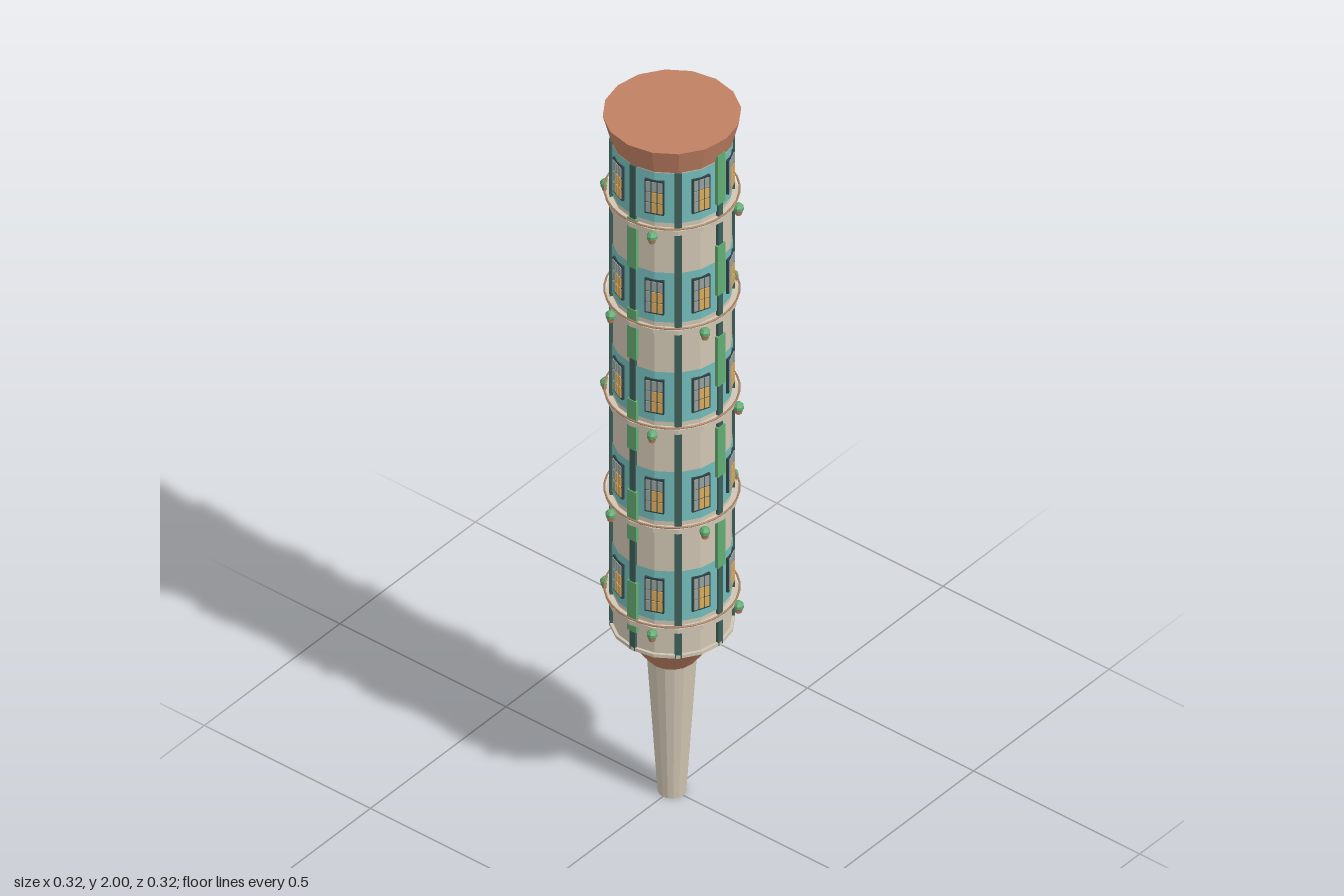
import * as THREE from 'three';

const mat = (name, color) => {
  const m = new THREE.MeshStandardMaterial({ color });
  m.name = name;
  return m;
};

export function createModel() {
  const stone = mat('pale stone', 0xd0c5b2);
  const clay = mat('terracotta', 0xc08063);
  const teal = mat('teal plaster', 0x72bcba);
  const metal = mat('dark green metal', 0x3e605a);
  const leaf = mat('leaf green', 0x62ac72);
  const frameColor = mat('window frame', 0x2e4246);
  const amber = mat('lit glass', 0xdcab5c);
  const grey = mat('grey glass', 0x98a29e);
  const copper = mat('copper rail', 0xa98060);

  const tower = new THREE.Group();
  tower.name = 'tower';

  // Faceted geometry gets one normal per face
  const facet = (g) => {
    const f = g.toNonIndexed();
    f.computeVertexNormals();
    return f;
  };
  const add = (parent, name, geo, material, x = 0, y = 0, z = 0) => {
    const mesh = new THREE.Mesh(geo, material);
    mesh.name = name;
    mesh.position.set(x, y, z);
    parent.add(mesh);
  };
  // Sixteen-sided drum from y0 to y1
  const drum = (name, rBottom, rTop, y0, y1, material, open = false) =>
    add(tower, name, facet(new THREE.CylinderGeometry(rTop, rBottom, y1 - y0, 16, 1, open)),
      material, 0, (y0 + y1) / 2, 0);
  // Group turned so that its +z points out of the tower at an angle
  const spoke = (name, angle) => {
    const g = new THREE.Group();
    g.name = name;
    g.rotation.y = angle;
    tower.add(g);
    return g;
  };

  // Main stack
  drum('stem', 0.034, 0.059, 0, 0.4, stone);
  drum('lowerCone', 0.06, 0.132, 0.4, 0.5, clay);
  drum('shaft', 0.141, 0.141, 0.5, 1.93, stone);
  drum('roof', 0.144, 0.1625, 1.93, 2, clay);
  drum('baseRing', 0.148, 0.148, 0.5, 0.509, stone);

  // Window: dark frame with three by three panes, the lower corner lit
  const frameGeo = new THREE.BoxGeometry(0.047, 0.1, 0.008);
  const paneGeo = new THREE.BoxGeometry(0.0115, 0.028, 0.003);
  const addWindow = (angle, y) => {
    const g = spoke('window', angle);
    add(g, 'windowFrame', frameGeo, frameColor, 0, y, 0.141);
    for (let c = -1; c <= 1; c++) {
      for (let r = -1; r <= 1; r++) {
        const lit = c >= 0 && r <= 0;
        add(g, 'pane', paneGeo, lit ? amber : grey, c * 0.0142, y + r * 0.031, 0.1455);
      }
    }
  };

  const potGeo = facet(new THREE.CylinderGeometry(0.011, 0.008, 0.012, 8));
  const plantGeo = facet(new THREE.SphereGeometry(0.0135, 8, 5));
  const railGeo = new THREE.TorusGeometry(0.158, 0.0025, 6, 32).rotateX(Math.PI / 2);

  for (let level = 0; level < 5; level++) {
    const y = 0.585 + level * 0.2935;
    // Storey with its painted band
    drum('tealBand', 0.1435, 0.1435, y + 0.022, y + 0.168, teal, true);
    for (let bay = 0; bay < 8; bay++) addWindow((bay + 0.5) * Math.PI / 4, y + 0.096);

    // Ledge and rail
    drum('ledge', 0.156, 0.156, y - 0.005, y + 0.008, stone);
    add(tower, 'rail', railGeo, copper, 0, y + 0.016, 0);

    // Four pots per ledge, alternating between bays
    for (let k = 0; k < 4; k++) {
      const side = level % 2 === 0 ? 1 : -1;
      const g = spoke('planter', side * Math.PI / 8 + k * Math.PI / 2);
      add(g, 'pot', potGeo, clay, 0, y - 0.018, 0.162);
      add(g, 'plant', plantGeo, leaf, 0, y - 0.006, 0.162);
    }
  }

  // Vertical ribs with flat vines on every second one
  const ribGeo = new THREE.BoxGeometry(0.016, 1.43, 0.012);
  const vineGeo = new THREE.BoxGeometry(0.027, 0.145, 0.009);
  for (let i = 0; i < 8; i++) {
    const g = spoke('ribBay', i * Math.PI / 4);
    add(g, 'rib', ribGeo, metal, 0, 1.215, 0.141);
    if (i % 2) continue;
    const start = i % 4 === 0 ? 0.805 : 0.63;
    for (let k = 0; k < 5; k++) add(g, 'vine', vineGeo, leaf, 0, start + k * 0.268, 0.145);
  }
  return tower;
}
